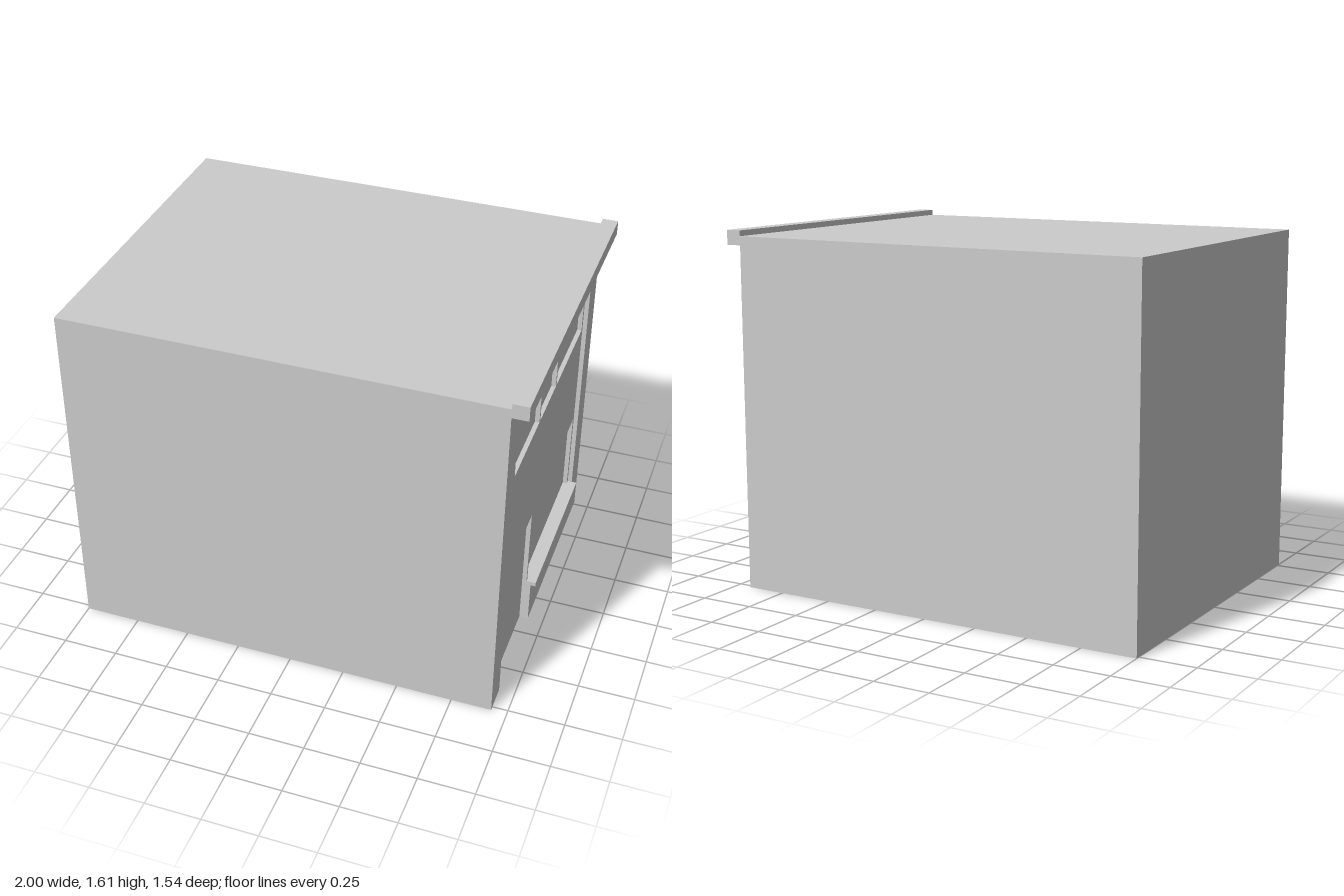
import * as THREE from 'three';

const material = new THREE.MeshStandardMaterial({ color: 0xcccccc, flatShading: true });
const HALF = 0.77, TOP = 1.58;

// Box given by its minimum and maximum corners
function block(name, [x0, y0, z0], [x1, y1, z1]) {
  const mesh = new THREE.Mesh(new THREE.BoxGeometry(x1 - x0, y1 - y0, z1 - z0), material);
  mesh.position.set((x0 + x1) / 2, (y0 + y1) / 2, (z0 + z1) / 2);
  mesh.name = name;
  return mesh;
}

const points = (list) => list.map(([a, y]) => new THREE.Vector2(a, y));

// Facade layer drawn in (-z, y) and extruded towards +x
function layer(name, outline, holes, x0, x1) {
  const shape = new THREE.Shape(points(outline));
  for (const [a0, y0, a1, y1] of holes) {
    shape.holes.push(new THREE.Path(points([[a0, y0], [a0, y1], [a1, y1], [a1, y0]])));
  }
  const geometry = new THREE.ExtrudeGeometry(shape, { depth: x1 - x0, bevelEnabled: false });
  geometry.rotateY(Math.PI / 2).translate(x0, 0, 0);
  const mesh = new THREE.Mesh(geometry, material);
  mesh.name = name;
  return mesh;
}

export function createModel() {
  const building = new THREE.Group();
  building.name = 'shopBuilding';

  // Main volume; its +x face forms the door leaf and window panes
  building.add(block('mainVolume', [-1, 0, -HALF], [0.89, TOP, HALF]));

  // Shopfront frame: doorway notch, display window and three upper windows
  building.add(layer('shopfrontFrame', [
    [-HALF, 0], [-0.62, 0], [-0.62, 0.6], [-0.15, 0.6], [-0.15, 0],
    [HALF, 0], [HALF, TOP], [-HALF, TOP],
  ], [
    [-0.135, 0.22, 0.62, 0.6],
    [-0.62, 1.1, -0.15, 1.28],
    [-0.135, 1.1, 0.135, 1.28],
    [0.15, 1.1, 0.62, 1.28],
  ], 0.89, 0.91));

  // Outer wall with the large stepped opening and the low wall under the sill
  building.add(layer('facadeWall', [
    [-HALF, 0], [-0.64, 0], [-0.64, 1.3], [0.64, 1.3], [0.64, 0.2],
    [-0.15, 0.2], [-0.15, 0], [HALF, 0], [HALF, TOP], [-HALF, TOP],
  ], [], 0.91, 0.93));

  // Projecting sill and cornice
  building.add(block('windowSill', [0.91, 0.2, -0.64], [0.953, 0.22, 0.15]));
  building.add(block('cornice', [0.93, 1.54, -HALF], [1, 1.605, HALF]));

  return building;
}
